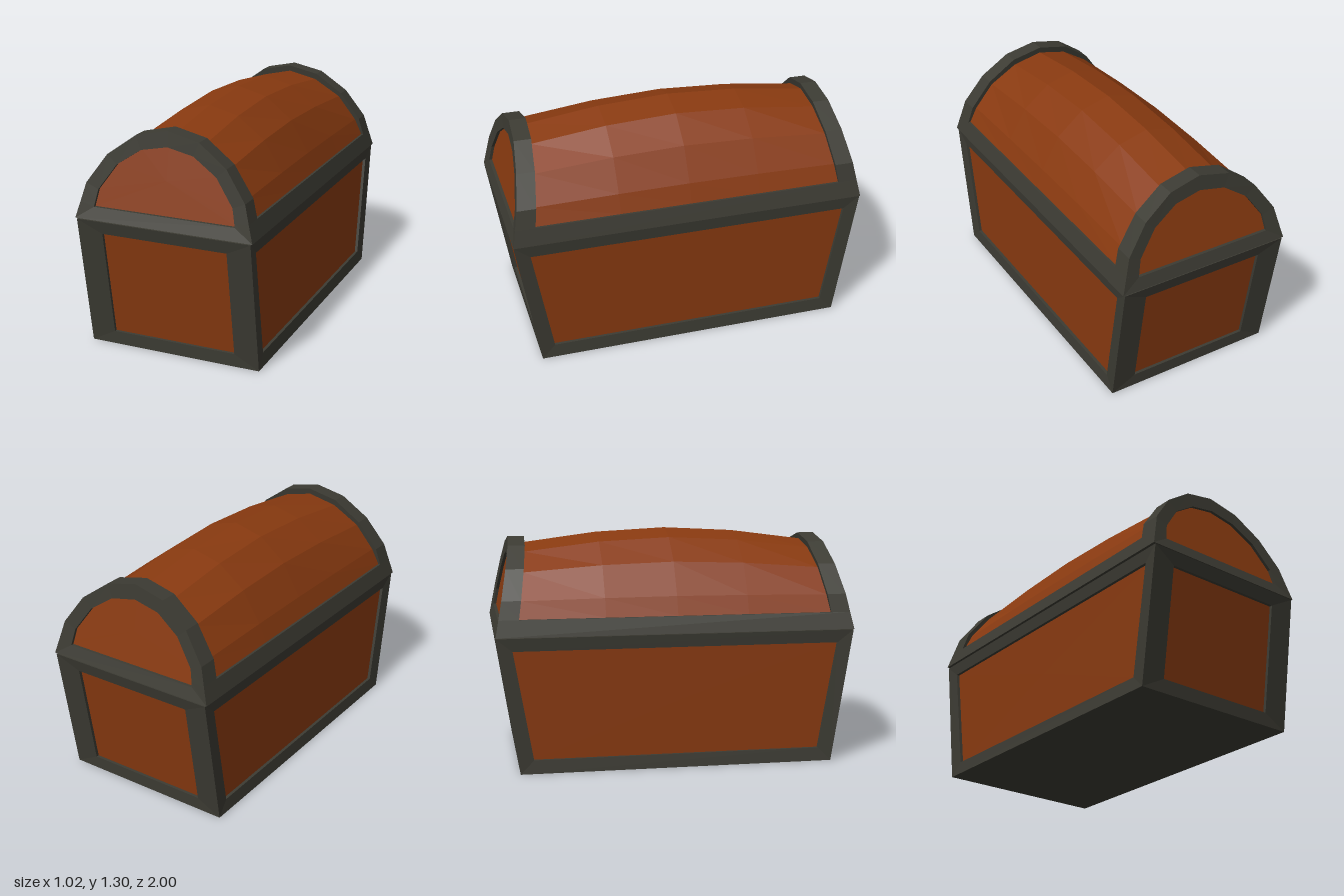
import * as THREE from 'three';

const iron = new THREE.MeshStandardMaterial({ color: 0x3c3b33 });
iron.name = 'dark iron';
const wood = new THREE.MeshStandardMaterial({ color: 0x893a10 });
wood.name = 'red brown wood';

// Faceted surface through rows of [x, y, z] points
function surface(name, material, rows, closed = false) {
  const pos = [];
  const same = (a, b) => a.every((v, k) => Math.abs(v - b[k]) < 1e-6);
  const tri = (a, b, c) => {
    if (!same(a, b) && !same(b, c) && !same(a, c)) pos.push(...a, ...b, ...c);
  };
  for (let i = 0; i < rows.length - 1; i++) {
    const n = rows[i].length;
    for (let j = 0; j < (closed ? n : n - 1); j++) {
      const k = (j + 1) % n;
      tri(rows[i][j], rows[i][k], rows[i + 1][k]);
      tri(rows[i][j], rows[i + 1][k], rows[i + 1][j]);
    }
  }
  const geo = new THREE.BufferGeometry();
  geo.setAttribute('position', new THREE.Float32BufferAttribute(pos, 3));
  geo.computeVertexNormals();
  const mesh = new THREE.Mesh(geo, material);
  mesh.name = name;
  return mesh;
}

// Frame with a recessed panel; place(u, y, depth) puts a 2D point in space
function framedPanel(name, outer, inner, place) {
  const at = (pts, d) => pts.map(([u, y]) => place(u, y, d));
  const sunk = at(inner, 0.025);
  const ys = inner.map((p) => p[1]);
  const centre = place(0, (Math.min(...ys) + Math.max(...ys)) / 2, 0.025);
  const group = new THREE.Group();
  group.name = name;
  group.add(
    surface(name + 'Frame', iron, [at(outer, 0), at(inner, 0.008), sunk], true),
    surface(name + 'Board', wood, [sunk, sunk.map(() => centre)], true),
  );
  return group;
}

// Half profile from the right foot to the crown, mirrored to a full arch
const arch = (half) => [...half, ...half.slice(0, -1).reverse().map(([x, y]) => [-x, y])];
// Corners, counter-clockwise, of a symmetric four-sided outline
const trapezoid = (w0, y0, w1, y1) => [[-w0, y0], [w0, y0], [w1, y1], [-w1, y1]];

const BASE_TOP = 0.752, LID_BOTTOM = 0.757;
const baseEnd = (y) => 0.88 + 0.12 * y / BASE_TOP;
const lidEnd = (y) => 1 - 0.19 * (y - LID_BOTTOM);
const bandInner = (y) => 0.872 - 0.15 * (y - 0.85);

const archOuter = arch([[0.51, LID_BOTTOM], [0.483, 0.85], [0.455, 0.95], [0.34, 1.11], [0.18, 1.225], [0, 1.265]]);
const archInner = arch([[0.405, 0.825], [0.4, 0.85], [0.385, 0.92], [0.285, 1.06], [0.15, 1.15], [0, 1.18]]);
const barrelEnd = arch([[0.47, 0.85], [0.43, 0.945], [0.325, 1.09], [0.17, 1.19], [0, 1.23]]);
const barrelMid = arch([[0.47, 0.85], [0.43, 0.955], [0.325, 1.135], [0.17, 1.26], [0, 1.305]]);

// One end: base panel, lid panel and the arched iron band
function buildEnd() {
  const end = new THREE.Group();
  end.add(
    framedPanel('baseEnd', trapezoid(0.5, 0, 0.5, BASE_TOP), trapezoid(0.36, 0.075, 0.36, 0.68),
      (u, y, d) => [u, y, baseEnd(y) - d]),
    framedPanel('lidEnd', archOuter, archInner, (u, y, d) => [u, y, lidEnd(y) - d]),
  );
  const rib = archOuter.slice(1, -1);
  end.add(surface('lidBand', iron, [
    barrelEnd.map(([x, y]) => [x, y, bandInner(y)]),
    rib.map(([x, y]) => [x, y, bandInner(y)]),
    rib.map(([x, y]) => [x, y, lidEnd(y)]),
  ]));
  return end;
}

// One long side: base panel and lid rim
function buildSide() {
  const side = new THREE.Group();
  side.add(framedPanel('baseSide',
    trapezoid(baseEnd(0), 0, baseEnd(BASE_TOP), BASE_TOP),
    trapezoid(0.805, 0.075, 0.91, 0.68),
    (u, y, d) => [0.5 - d, y, -u]));
  const row = (x, y, z) => [[x, y, z], [x, y, -z]];
  side.add(surface('lidRim', iron, [
    row(0.51, LID_BOTTOM, 1),
    row(0.483, 0.85, lidEnd(0.85)),
    row(0.47, 0.85, lidEnd(0.85)),
  ]));
  return side;
}

// Horizontal plate, facing up or down
function plate(name, w, l, y, up) {
  const geo = new THREE.PlaneGeometry(w, l).rotateX(up ? -Math.PI / 2 : Math.PI / 2);
  const mesh = new THREE.Mesh(geo, iron);
  mesh.name = name;
  mesh.position.y = y;
  return mesh;
}

export function createModel() {
  const chest = new THREE.Group();
  chest.name = 'chest';

  for (const [label, build, sides] of [['End', buildEnd, ['front', 'back']], ['Side', buildSide, ['left', 'right']]]) {
    sides.forEach((s, i) => {
      const part = build();
      part.name = s + label;
      part.rotation.y = i * Math.PI;
      chest.add(part);
    });
  }

  // Bulging barrel lid: [position along the length, amount of bulge]
  const stations = [[-1, 0], [-0.4, 0.72], [0, 1], [0.4, 0.72], [1, 0]];
  chest.add(surface('barrelLid', wood, stations.map(([t, k]) => barrelEnd.map(([x, y], j) => [
    x,
    y + (barrelMid[j][1] - y) * k,
    Math.abs(t) === 1 ? t * bandInner(y) : t,
  ]))));

  // Underside and the faces at the lid seam
  chest.add(
    plate('bottom', 1, 1.76, 0, false),
    plate('baseTop', 1, 2, BASE_TOP, true),
    plate('lidUnderside', 1.02, 2, LID_BOTTOM, false),
  );
  return chest;
}
